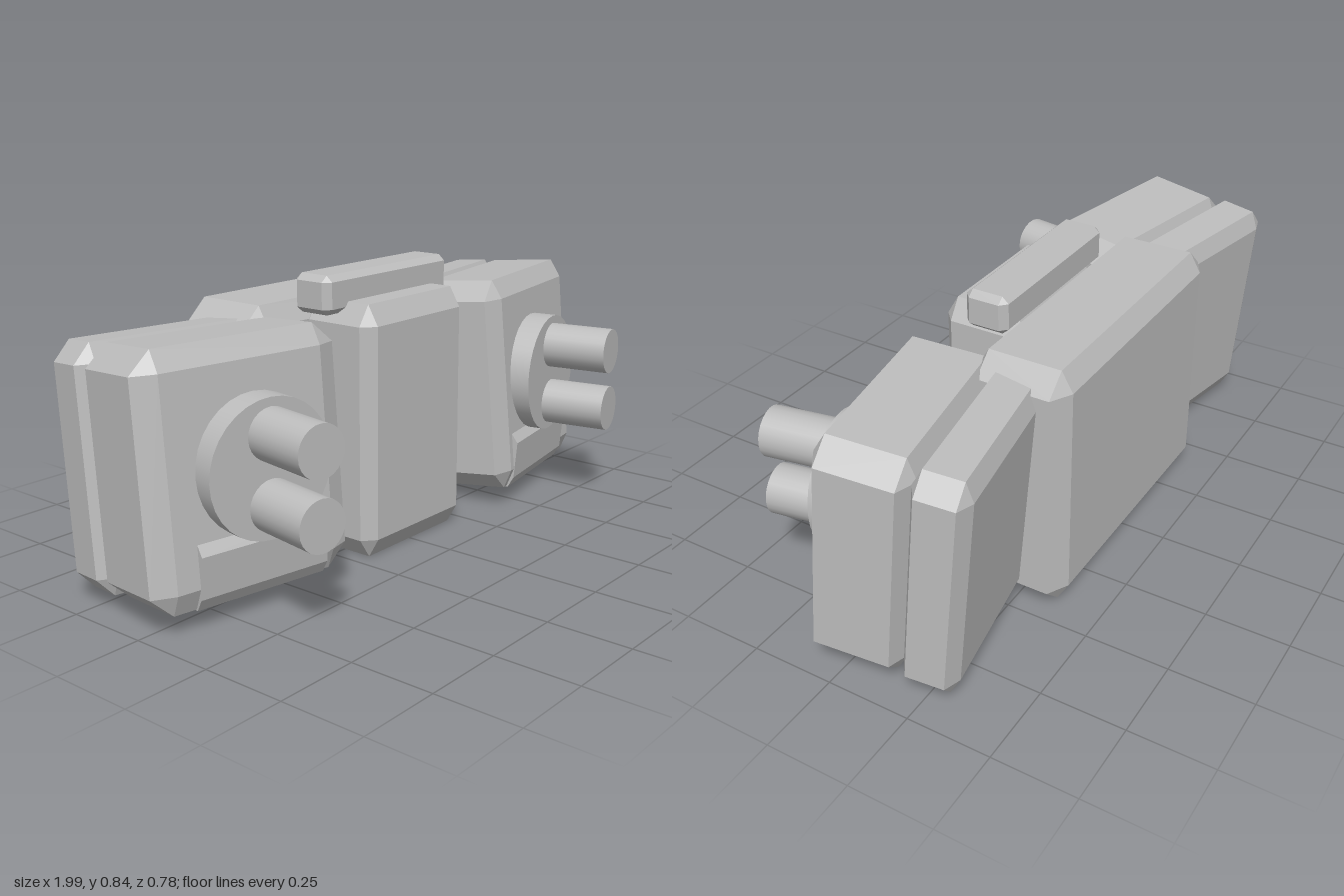
import * as THREE from 'three';
import { ConvexGeometry } from 'three/addons/geometries/ConvexGeometry.js';

const YAW = 0.175, LEAN = -0.087;

export function createModel() {
  const model = new THREE.Group();
  const grey = new THREE.MeshStandardMaterial({ color: 0xbdbdbd });
  grey.name = 'light grey';

  function add(parent, name, geometry, x = 0, y = 0, z = 0) {
    const mesh = new THREE.Mesh(geometry, grey);
    mesh.name = name;
    mesh.position.set(x, y, z);
    parent.add(mesh);
    return mesh;
  }

  // Box with half sizes h and a separate chamfer c for each axis
  function chamferBox(h, c) {
    const points = [];
    for (const sx of [-1, 1]) for (const sy of [-1, 1]) for (const sz of [-1, 1]) {
      const s = [sx, sy, sz];
      for (let full = 0; full < 3; full++) {
        points.push(new THREE.Vector3(...h.map((v, i) => s[i] * (i === full ? v : v - c[i]))));
      }
    }
    return new ConvexGeometry(points);
  }

  // Central body
  add(model, 'backBlock', chamferBox([0.465, 0.38, 0.145], [0.065, 0.06, 0.035]), 0, 0.38, -0.245);
  add(model, 'frontBlock', chamferBox([0.235, 0.38, 0.13], [0.04, 0.06, 0.035]), 0, 0.38, 0);
  add(model, 'topBar', chamferBox([0.285, 0.057, 0.067], [0.022, 0.018, 0.02]), 0, 0.784, -0.047);

  // Wedge plate profile (z, y), extruded across the pod
  const wedge = new THREE.Shape([
    [0, 0.055], [0.115, 0.055], [0.135, 0.09], [0.146, 0.21], [0.125, 0.24], [0, 0.24],
  ].map(([z, y]) => new THREE.Vector2(z, y)));
  const wedgeGeometry = new THREE.ExtrudeGeometry(wedge, { depth: 0.41, bevelEnabled: false });
  wedgeGeometry.rotateY(-Math.PI / 2).translate(0.205, 0, 0);

  const discGeometry = new THREE.CylinderGeometry(0.193, 0.193, 0.11, 32).rotateX(Math.PI / 2);
  const tubeGeometry = new THREE.CylinderGeometry(0.073, 0.073, 0.26, 24).rotateX(Math.PI / 2);

  for (const [side, s] of [['left', 1], ['right', -1]]) {
    // Leaning side pod turned outwards
    const pod = new THREE.Group();
    pod.name = side + 'Pod';
    pod.position.set(s * 0.66, 0.393, -0.03);
    pod.rotation.set(LEAN, s * YAW, 0, 'YXZ');
    model.add(pod);
    add(pod, side + 'PodFront', chamferBox([0.315, 0.345, 0.138], [0.065, 0.06, 0.03]));
    add(pod, side + 'PodBack', chamferBox([0.322, 0.345, 0.08], [0.05, 0.055, 0.025]), 0, 0, -0.212);

    // Level disc, twin tubes and wedge on the pod face
    const mount = new THREE.Group();
    mount.name = side + 'Mount';
    mount.position.x = s * 0.642;
    mount.rotation.y = s * YAW;
    model.add(mount);
    add(mount, side + 'Disc', discGeometry, 0, 0.41, 0.118);
    add(mount, side + 'UpperTube', tubeGeometry, 0, 0.505, 0.25);
    add(mount, side + 'LowerTube', tubeGeometry, 0, 0.312, 0.25);
    add(mount, side + 'Wedge', wedgeGeometry);
  }
  return model;
}
